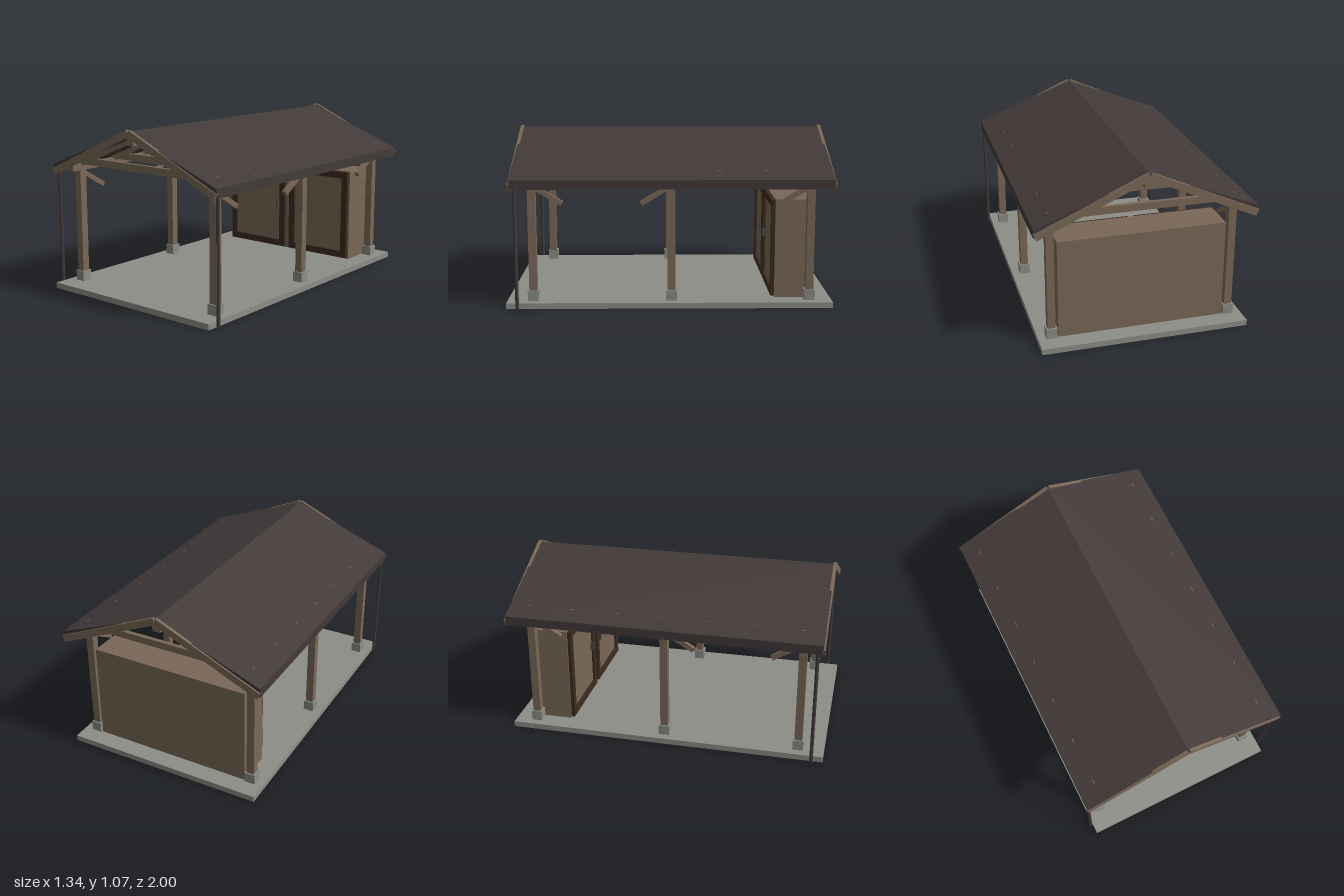
import * as THREE from 'three';

export function createModel() {
  const root = new THREE.Group();
  root.name = 'carport';

  const mat = (name, color) => {
    const m = new THREE.MeshStandardMaterial({ color });
    m.name = name;
    return m;
  };
  const wood = mat('timber', 0x7a6857);
  const darkWood = mat('dark door timber', 0x3c2c21);
  const roofing = mat('roof sheet', 0x423a39);
  const concrete = mat('concrete', 0x8c8e87);
  const metal = mat('handle metal', 0x45474a);

  // Box given by its lower and upper corners
  const box = (name, m, x0, x1, y0, y1, z0, z1, parent = root) => {
    const mesh = new THREE.Mesh(new THREE.BoxGeometry(x1 - x0, y1 - y0, z1 - z0), m);
    mesh.position.set((x0 + x1) / 2, (y0 + y1) / 2, (z0 + z1) / 2);
    mesh.name = name;
    parent.add(mesh);
    return mesh;
  };

  // Outline in x and y, extruded from z0 to z1
  const slice = (name, m, points, z0, z1) => {
    const shape = new THREE.Shape(points.map(([x, y]) => new THREE.Vector2(x, y)));
    const geo = new THREE.ExtrudeGeometry(shape, { depth: z1 - z0, bevelEnabled: false });
    geo.translate(0, 0, z0);
    const mesh = new THREE.Mesh(geo, m);
    mesh.name = name;
    root.add(mesh);
  };

  // Sloping beam with square-cut ends; (x0,y0) to (x1,y1) is its top edge
  const slopingBeam = (name, x0, y0, x1, y1, depth, z0, z1) => {
    const len = Math.hypot(x1 - x0, y1 - y0);
    const nx = ((y1 - y0) / len) * depth, ny = (-(x1 - x0) / len) * depth;
    for (const s of [1, -1]) {
      const pts = [[x0, y0], [x0 + nx, y0 + ny], [x1 + nx, y1 + ny], [x1, y1]];
      slice(name, wood, pts.map(([x, y]) => [s * x, y]), z0, z1);
    }
  };

  // Floor
  box('floorSlab', concrete, -0.638, 0.638, 0, 0.036, -1, 1);

  for (const s of [1, -1]) {
    const x = s * 0.555;
    // Posts on concrete feet, with a brace leaning away from each
    for (const [z, dir] of [[0.84, -1], [-0.01, 1], [-0.862, 1]]) {
      box('postFoot', concrete, x - 0.033, x + 0.033, 0.036, 0.1, z - 0.033, z + 0.033);
      box('post', wood, x - 0.024, x + 0.024, 0.1, 0.77, z - 0.024, z + 0.024);
      const brace = box('brace', wood, x - 0.014, x + 0.014, 0.675, 0.705, z - 0.1, z + 0.1);
      brace.position.z = z + dir * 0.1;
      brace.rotation.x = dir * 0.54;
    }
    // Wall plate, gutter and downpipe
    box('wallPlate', wood, x - 0.022, x + 0.022, 0.757, 0.797, -0.94, 0.92);
    const gx = s * 0.654;
    box('gutter', roofing, gx - 0.012, gx + 0.012, 0.742, 0.772, -0.985, 0.955);
    const pipe = new THREE.Mesh(new THREE.CylinderGeometry(0.011, 0.011, 0.75, 12), roofing);
    pipe.position.set(s * 0.651, 0.38, 0.93);
    pipe.name = 'downpipe';
    root.add(pipe);
  }

  // Roof sheets
  slice('roof', roofing, [[0, 1.056], [-0.667, 0.798], [-0.667, 0.771],
    [0, 1.03], [0.667, 0.771], [0.667, 0.798]], -0.99, 0.963);

  // Ridge beam, tie beams and rafters
  box('ridgeBeam', wood, -0.026, 0.026, 0.97, 1.03, -0.98, 0.95);
  for (let i = 0; i < 7; i++) {
    const z = -0.87 + i * 0.2837;
    box('tieBeam', wood, -0.565, 0.565, 0.795, 0.8395, z - 0.013, z + 0.013);
    slopingBeam('rafter', 0, 1.042, 0.64, 0.775, 0.03, z - 0.013, z + 0.013);
  }

  // Gable boards
  for (const z of [-0.99, 0.961]) {
    slopingBeam('gableBoard', 0.009, 1.066, 0.669, 0.771, 0.043, z - 0.01, z + 0.01);
  }

  // Storage cupboard with two framed doors
  box('cupboard', wood, -0.515, 0.515, 0.036, 0.655, -0.885, -0.652);
  for (const s of [1, -1]) {
    const door = new THREE.Group();
    door.name = s > 0 ? 'leftDoor' : 'rightDoor';
    root.add(door);
    const cx = s * 0.263, h = 0.243, w = 0.045, z0 = -0.652, z1 = -0.63;
    for (const t of [1, -1]) {
      const ex = cx + t * (h - w / 2);
      box('doorStile', darkWood, ex - w / 2, ex + w / 2, 0.043, 0.65, z0, z1, door);
    }
    for (const y of [0.043, 0.605]) {
      box('doorRail', darkWood, cx - h + w, cx + h - w, y, y + w, z0, z1, door);
    }
    box('doorPanel', wood, cx - h + w, cx + h - w, 0.088, 0.605, z0, -0.645, door);
    box('handle', metal, s * 0.08 - 0.005, s * 0.08 + 0.005, 0.332, 0.385, -0.645, -0.619, door);
  }

  return root;
}
